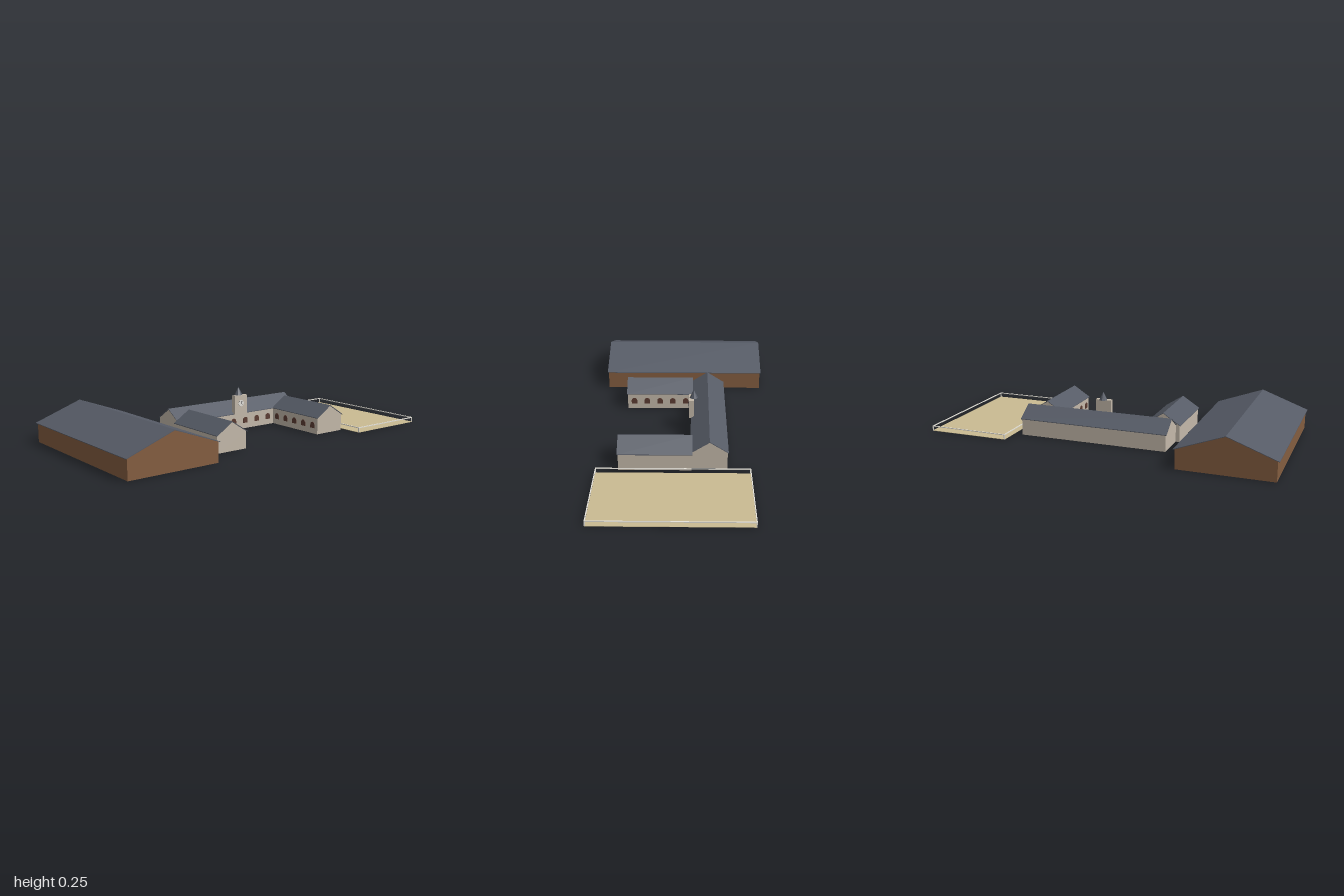
import * as THREE from 'three';

const mat = (name, color, side = THREE.FrontSide) => {
  const m = new THREE.MeshStandardMaterial({ color, side });
  m.name = name;
  return m;
};

export function createModel() {
  const model = new THREE.Group();
  model.name = 'stableYard';

  const slate = mat('slate', 0x565b66);
  const stone = mat('stone', 0xc4b9aa, THREE.DoubleSide);
  const timber = mat('timber', 0x845d40, THREE.DoubleSide);
  const sand = mat('sand', 0xcabb92);
  const rail = mat('rail', 0xe6e3da);
  const windowBrown = mat('windowBrown', 0x5c3d33);
  const clockFace = mat('clockFace', 0xe2e0da);
  const clockDark = mat('clockDark', 0x34343a);

  const add = (parent, name, geometry, material, x = 0, y = 0, z = 0, ry = 0) => {
    const mesh = new THREE.Mesh(geometry, material);
    mesh.name = name;
    mesh.position.set(x, y, z);
    mesh.rotation.y = ry;
    parent.add(mesh);
    return mesh;
  };
  const shape = pts => new THREE.Shape(pts.map(p => new THREE.Vector2(...p)));

  // Gabled hall along local z: open below, flat ceiling at the eaves, thin overhanging roof
  function hall(name, { half, length, eave, ridge, over, endOver, walls }) {
    const g = new THREE.Group();
    g.name = name;
    const gable = new THREE.ShapeGeometry(
      shape([[-half, 0], [half, 0], [half, eave], [0, ridge], [-half, eave]]));
    const sideWall = new THREE.PlaneGeometry(length, eave);
    for (const s of [1, -1]) {
      add(g, 'gableWall', gable, walls, 0, 0, s * length / 2, s > 0 ? 0 : Math.PI);
      add(g, 'sideWall', sideWall, walls, s * half, eave / 2, 0, s * Math.PI / 2);
    }
    add(g, 'ceiling', new THREE.PlaneGeometry(half * 2, length).rotateX(Math.PI / 2), walls, 0, eave, 0);

    const slope = (ridge - eave) / half;
    const edge = half + over;
    const top = ridge + 0.004;
    const low = top - slope * edge;
    const t = 0.0035;
    const roofLength = length + endOver * 2;
    const roof = new THREE.ExtrudeGeometry(
      shape([[-edge, low - t], [0, top - t], [edge, low - t], [edge, low], [0, top], [-edge, low]]),
      { depth: roofLength, bevelEnabled: false });
    add(g, 'roof', roof, slate, 0, 0, -roofLength / 2);
    model.add(g);
    return g;
  }

  // Large riding hall
  hall('ridingHall', {
    half: 0.2535, length: 0.94, eave: 0.106, ridge: 0.199, over: 0.009, endOver: 0.006, walls: timber,
  }).position.set(-0.7375, 0, 0);

  // Main stable range and its two wings
  const range = { half: 0.0935, eave: 0.094, ridge: 0.154, over: 0.005, endOver: 0.005, walls: stone };
  const main = hall('mainRange', { ...range, length: 0.845 });
  main.position.set(0.058, 0, -0.1425);
  main.rotation.y = Math.PI / 2;
  hall('rightWing', { ...range, length: 0.38 }).position.set(-0.2925, 0, 0.14);
  hall('leftWing', { ...range, length: 0.38 }).position.set(0.409, 0, 0.14);

  // Arched windows around the courtyard
  const arch = new THREE.Shape();
  arch.moveTo(-0.0165, 0);
  arch.lineTo(0.0165, 0);
  arch.lineTo(0.0165, 0.018);
  arch.absarc(0, 0.018, 0.0165, 0, Math.PI, false);
  arch.closePath();
  const windowGeo = new THREE.ExtrudeGeometry(arch, { depth: 0.003, bevelEnabled: false, curveSegments: 6 });
  for (let i = 0; i < 6; i++) {
    add(model, 'mainWindow', windowGeo, windowBrown, 0.058 + (i - 2.5) * 0.085, 0.032, -0.049);
  }
  for (let i = 0; i < 5; i++) {
    const z = 0.14 + (i - 2) * 0.076;
    add(model, 'wingWindow', windowGeo, windowBrown, -0.199, 0.032, z, Math.PI / 2);
    add(model, 'wingWindow', windowGeo, windowBrown, 0.3155, 0.032, z, -Math.PI / 2);
  }

  // Clock tower over the courtyard front
  const tower = new THREE.Group();
  tower.name = 'clockTower';
  tower.position.set(0.058, 0, -0.048);
  model.add(tower);
  add(tower, 'towerWall', new THREE.BoxGeometry(0.09, 0.107, 0.027), stone, 0, 0.1465, 0);
  const spire = new THREE.ConeGeometry(0.023, 0.048, 8).toNonIndexed();
  spire.computeVertexNormals();
  add(tower, 'spire', spire, slate, 0, 0.224, -0.012);
  add(tower, 'clockDial', new THREE.CylinderGeometry(0.019, 0.019, 0.002, 20).rotateX(Math.PI / 2),
    clockFace, 0, 0.155, 0.0142);
  for (let i = 0; i < 4; i++) {
    const a = Math.PI / 4 + i * Math.PI / 2;
    add(tower, 'hourMark', new THREE.BoxGeometry(0.004, 0.004, 0.001), clockDark,
      Math.cos(a) * 0.015, 0.155 + Math.sin(a) * 0.015, 0.0156);
  }
  add(tower, 'minuteHand', new THREE.BoxGeometry(0.002, 0.013, 0.001), clockDark, 0, 0.161, 0.0156);
  add(tower, 'hourHand', new THREE.BoxGeometry(0.009, 0.002, 0.001), clockDark, 0.004, 0.155, 0.0156);

  // Outdoor sand arena with a single-rail fence
  const arena = new THREE.Group();
  arena.name = 'arena';
  arena.position.set(0.764, 0, 0.045);
  model.add(arena);
  const w = 0.466, d = 0.8, r = 0.005;
  add(arena, 'sandBed', new THREE.BoxGeometry(w, 0.002, d), sand, 0, 0.001, 0);
  for (const s of [1, -1]) {
    add(arena, 'longRail', new THREE.BoxGeometry(r, r, d), rail, s * (w - r) / 2, 0.0275, 0);
    add(arena, 'shortRail', new THREE.BoxGeometry(w - 2 * r, r, r), rail, 0, 0.0275, s * (d - r) / 2);
    for (const q of [1, -1]) {
      add(arena, 'cornerPost', new THREE.BoxGeometry(r, 0.023, r), rail,
        s * (w - r) / 2, 0.0135, q * (d - r) / 2);
    }
  }
  return model;
}
